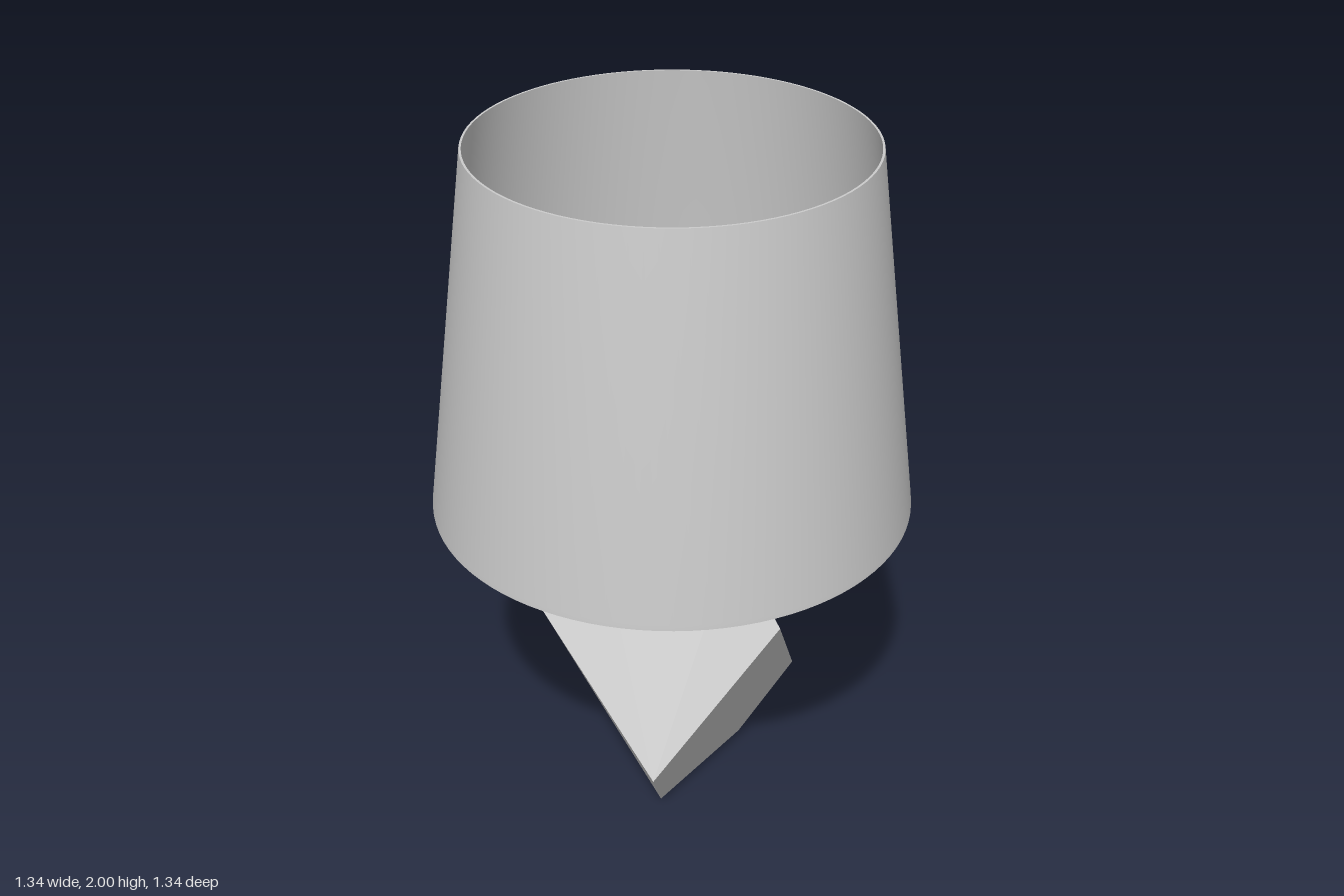
import * as THREE from 'three';
import { toCreasedNormals } from 'three/addons/utils/BufferGeometryUtils.js';
import { ConvexGeometry } from 'three/addons/geometries/ConvexGeometry.js';

const material = new THREE.MeshStandardMaterial({ color: 0xcccccc });
const thin = new THREE.MeshStandardMaterial({ color: 0xcccccc, side: THREE.DoubleSide });

function add(parent, name, geometry, x = 0, y = 0, z = 0, mat = material) {
  const mesh = new THREE.Mesh(geometry, mat);
  mesh.name = name;
  mesh.position.set(x, y, z);
  parent.add(mesh);
  return mesh;
}

// Turned part from [radius, height] pairs, bottom to top
function turned(profile, segments = 32) {
  const points = profile.map(([r, y]) => new THREE.Vector2(r, y));
  return toCreasedNormals(new THREE.LatheGeometry(points, segments), 0.6);
}

export function createModel() {
  const lamp = new THREE.Group();
  lamp.name = 'tableLamp';

  // Faceted base: a stretched cube on its corner, cut flat at top and bottom
  const corners = [
    [0, 0.875, 0.215], [0.2, 0.875, -0.1], [-0.2, 0.875, -0.1],
    [0, 0.645, 0.38], [0.353, 0.662, -0.19], [-0.353, 0.662, -0.19],
    [0.353, 0.235, 0.2], [-0.353, 0.235, 0.2], [0, 0.235, -0.37],
    [0.2, 0.018, 0.11], [-0.2, 0.018, 0.11], [0, 0.018, -0.175],
  ].map((p) => new THREE.Vector3(...p));
  add(lamp, 'facetedBase', new ConvexGeometry(corners));

  // Small round feet
  for (const [x, z] of [[0.117, 0.07], [-0.117, 0.07], [0, -0.13]]) {
    add(lamp, 'foot', new THREE.SphereGeometry(0.014, 16, 10), x, 0.014, z);
  }

  // Stem with a small collar
  add(lamp, 'stem', turned([
    [0, 0.87], [0.024, 0.87], [0.024, 0.98], [0.019, 0.985], [0.019, 0.995],
    [0.026, 1.0], [0.026, 1.04], [0.02, 1.05], [0.02, 1.09], [0, 1.09],
  ]));

  // Bulb socket with its clamping rings
  add(lamp, 'socket', turned([
    [0, 1.05], [0.026, 1.05], [0.05, 1.085], [0.055, 1.1], [0.055, 1.145],
    [0.082, 1.145], [0.082, 1.165], [0.064, 1.168], [0.064, 1.182],
    [0.074, 1.184], [0.074, 1.2], [0.052, 1.203], [0.052, 1.235], [0, 1.235],
  ]));

  // Candle bulb with a small tip
  const bulbCurve = new THREE.SplineCurve([
    [0.044, 1.22], [0.05, 1.27], [0.066, 1.34], [0.081, 1.4], [0.082, 1.44],
    [0.07, 1.5], [0.044, 1.55], [0.02, 1.58], [0.012, 1.6], [0, 1.607],
  ].map((p) => new THREE.Vector2(...p)));
  add(lamp, 'bulb', new THREE.LatheGeometry(bulbCurve.getPoints(36), 32));

  // Three spokes carry the shade
  const inner = 0.07, outer = 0.642;
  for (let i = 0; i < 3; i++) {
    const angle = Math.PI + (i * Math.PI * 2) / 3;
    const spoke = new THREE.Group();
    spoke.name = 'shadeSpoke';
    spoke.rotation.y = angle;
    const rod = add(spoke, 'spokeRod',
      new THREE.CylinderGeometry(0.006, 0.006, outer - inner, 10), 0, 1.165, (inner + outer) / 2);
    rod.rotation.x = Math.PI / 2;
    lamp.add(spoke);
  }

  // Thin tapered shade with a short straight hem at the bottom
  add(lamp, 'shade', turned([
    [0.664, 0.96], [0.67, 0.96], [0.669, 0.975], [0.538, 2],
    [0.532, 2], [0.663, 0.975], [0.664, 0.96],
  ], 96), 0, 0, 0, thin);

  return lamp;
}
